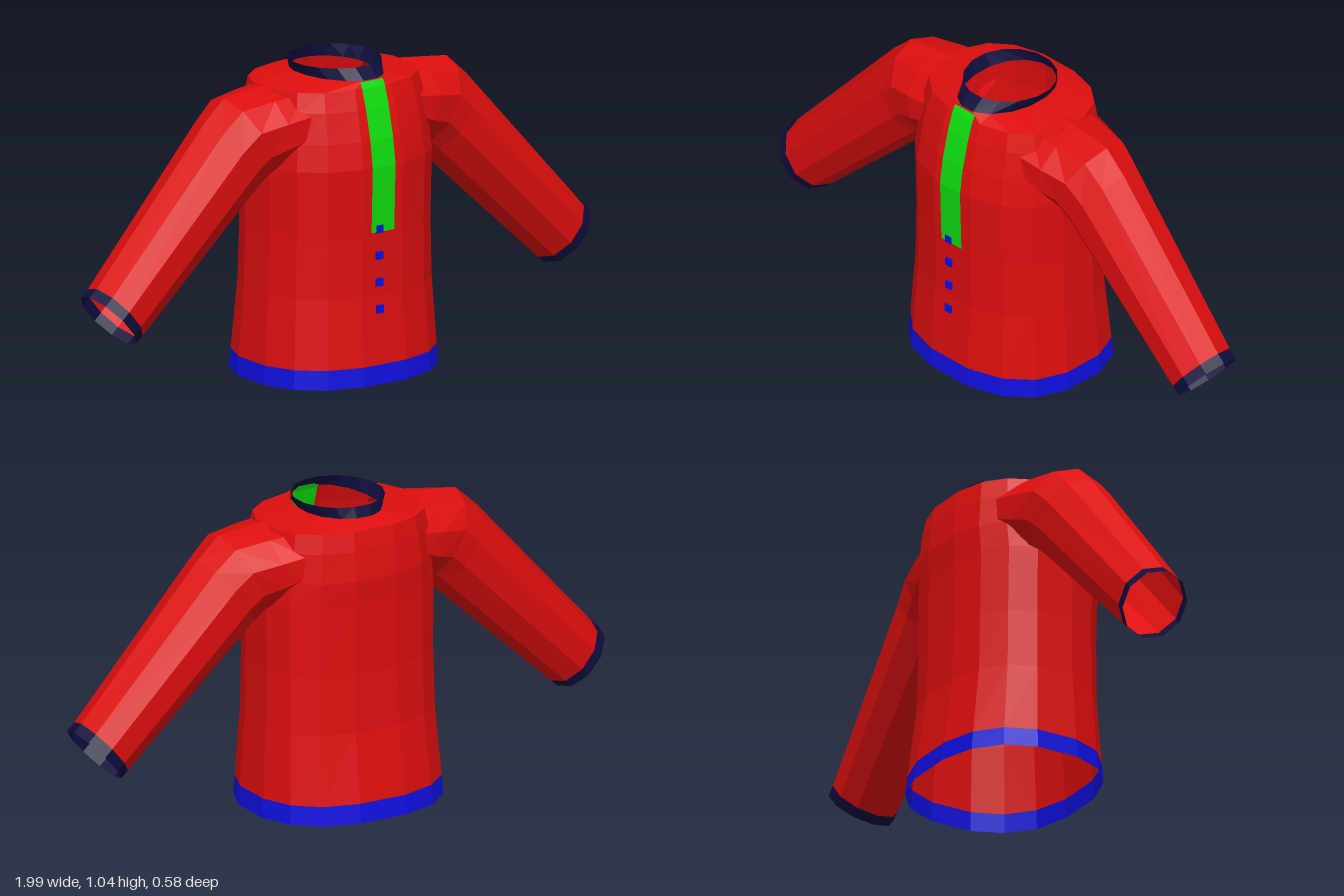
import * as THREE from 'three';

const paint = (name, color) => {
  const m = new THREE.MeshStandardMaterial({ color, flatShading: true, side: THREE.DoubleSide });
  m.name = name;
  return m;
};

// Skin a list of cross-sections (arrays of [x, y, z]); closed joins each loop's ends.
function loft(name, rings, material, closed = true, flip = false) {
  const n = rings[0].length, index = [];
  for (let i = 0; i < rings.length - 1; i++) {
    for (let j = 0; j < (closed ? n : n - 1); j++) {
      const a = i * n + j, b = i * n + (j + 1) % n, c = b + n, d = a + n;
      if (flip) index.push(a, c, b, a, d, c);
      else index.push(a, b, c, a, c, d);
    }
  }
  const g = new THREE.BufferGeometry();
  g.setAttribute('position', new THREE.Float32BufferAttribute(rings.flat(2), 3));
  g.setIndex(index);
  g.computeVertexNormals();
  const mesh = new THREE.Mesh(g, material);
  mesh.name = name;
  return mesh;
}

// Horizontal body loop: height, half width, front depth, back depth
const SIDES = 16;
function bodyRing([y, w, front, back], power = 2.4) {
  const soft = v => Math.sign(v) * Math.abs(v) ** (2 / power);
  return Array.from({ length: SIDES }, (_, j) => {
    const a = (j + 0.5) / SIDES * Math.PI * 2;
    const c = soft(Math.cos(a)) * 1.016;
    return [w * soft(Math.sin(a)), y, c * (c > 0 ? front : back)];
  });
}

// Slanted sleeve loop: top x, top y, bottom x, bottom y, front z, back z
function sleeveRing([tx, ty, bx, by, front, back], side) {
  return Array.from({ length: 10 }, (_, j) => {
    const a = j / 10 * Math.PI * 2, t = (1 - Math.cos(a)) / 2;
    return [side * (tx + (bx - tx) * t), ty + (by - ty) * t,
      (front + back) / 2 + (front - back) / 2 * Math.sin(a)];
  });
}

export function createModel() {
  const red = paint('red cloth', 0xdd0e0e);
  const blue = paint('blue trim', 0x0f0fdd);
  const green = paint('green placket', 0x0fdd0f);
  const navy = paint('navy trim', 0x0d0d3c);
  const model = new THREE.Group();
  model.name = 'longSleeveShirt';

  // Body tube from hem to neck opening
  const body = [
    [0, 0.34, 0.29, 0.288],
    [0.065, 0.335, 0.285, 0.28],
    [0.3, 0.32, 0.268, 0.247],
    [0.5, 0.315, 0.268, 0.24],
    [0.73, 0.318, 0.275, 0.237],
    [0.82, 0.308, 0.262, 0.242],
    [0.92, 0.3, 0.238, 0.232],
    [0.985, 0.285, 0.217, 0.22],
    [1.007, 0.14, 0.205, 0.165],
  ];
  model.add(loft('hem', body.slice(0, 2).map(r => bodyRing(r)), blue));
  model.add(loft('body', body.slice(1).map((r, i) => bodyRing(r, i === 7 ? 2 : 2.4)), red));

  // Flared collar
  const collar = [[1.0, 0.13, 0.21, 0.165], [1.042, 0.152, 0.163, 0.15]];
  model.add(loft('collar', collar.map(r => bodyRing(r, 2)), navy));

  // Sleeves and cuffs
  const sleeve = [
    [0.2, 0.995, 0.25, 0.75, 0.19, -0.18],
    [0.32, 0.988, 0.28, 0.72, 0.18, -0.165],
    [0.45, 0.973, 0.31, 0.695, 0.16, -0.14],
    [0.53, 0.9, 0.345, 0.665, 0.148, -0.128],
    [0.967, 0.415, 0.817, 0.232, 0.13, -0.1],
  ];
  const cuff = [sleeve[4], [0.995, 0.39, 0.842, 0.21, 0.13, -0.1]];
  for (const side of [1, -1]) {
    const label = side > 0 ? 'left' : 'right';
    model.add(loft(label + 'Sleeve', sleeve.map(r => sleeveRing(r, side)), red, true, side < 0));
    model.add(loft(label + 'Cuff', cuff.map(r => sleeveRing(r, side)), navy, true, side < 0));
  }

  // Depth of the flat front panel at a given height
  const frontZ = y => {
    const k = Math.max(1, body.findIndex(r => r[0] >= y));
    const [lo, hi] = [body[k - 1], body[k]];
    return lo[2] + (hi[2] - lo[2]) * (y - lo[0]) / (hi[0] - lo[0]);
  };

  // Placket, visible on the outside and inside of the front
  const heights = [0.51, 0.73, 0.82, 0.92, 0.985, 1.006];
  for (const [name, offset] of [['placket', 0.006], ['placketLining', -0.006]]) {
    const rows = heights.map(y => [-0.047, 0.045].map(x => [x, y, frontZ(y) + offset]));
    model.add(loft(name, rows, green, false, offset < 0));
  }

  // Row of small square buttons
  for (const y of [0.52, 0.43, 0.34, 0.25]) {
    const button = new THREE.Mesh(new THREE.BoxGeometry(0.026, 0.026, 0.009), blue);
    button.position.set(-0.014, y, frontZ(y) + 0.005);
    button.name = 'button';
    model.add(button);
  }
  return model;
}
